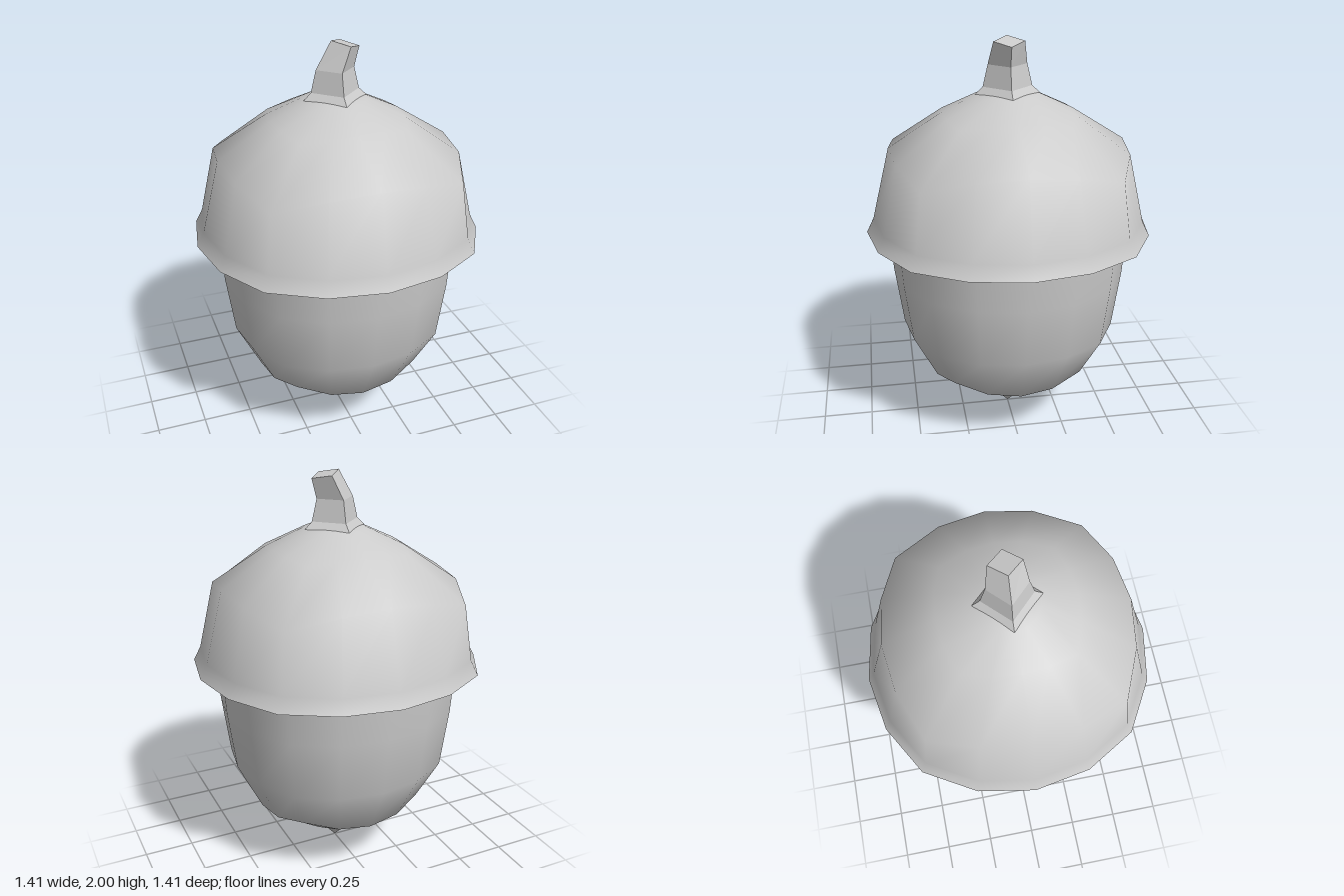
import * as THREE from 'three';

const material = new THREE.MeshStandardMaterial({ color: 0xcccccc });

// Skin stacked rings, listed bottom to top (outside faces out).
// Each ring: { r, y, x: sideways shift, bulge: extra diagonal radius,
// drop: diagonal lowering, slope: tilt of y along x, depth: z scale }
function loft(name, rings, sides, flat = false, capTop = false) {
  const pos = [], index = [];
  for (const { r, y, x = 0, bulge = 0, drop = 0, slope = 0, depth = 1 } of rings) {
    for (let j = 0; j < sides; j++) {
      const a = (j / sides) * Math.PI * 2;
      const d = Math.sin(2 * a) ** 4;
      const rr = r * (1 + bulge * d);
      const px = rr * Math.sin(a);
      pos.push(x + px, y - drop * d + slope * px, rr * Math.cos(a) * depth);
    }
  }
  for (let i = 0; i < rings.length - 1; i++) {
    for (let j = 0; j < sides; j++) {
      const k = (j + 1) % sides;
      const a = i * sides + j, b = i * sides + k;
      const c = b + sides, e = a + sides;
      if (rings[i].r > 0) index.push(a, b, c);
      else { index.push(a, c, e); continue; }
      if (rings[i + 1].r > 0) index.push(a, c, e);
    }
  }
  if (capTop) {
    const s = (rings.length - 1) * sides;
    for (let j = 1; j < sides - 1; j++) index.push(s, s + j, s + j + 1);
  }
  let geo = new THREE.BufferGeometry();
  geo.setAttribute('position', new THREE.Float32BufferAttribute(pos, 3));
  geo.setIndex(index);
  if (flat) geo = geo.toNonIndexed();
  geo.computeVertexNormals();
  const mesh = new THREE.Mesh(geo, material);
  mesh.name = name;
  return mesh;
}

export function createModel() {
  const group = new THREE.Group();
  group.name = 'acorn';

  // Nut: pointed tip, rounded belly, slightly squared plan
  group.add(loft('nut', [
    { r: 0, y: 0 },
    { r: 0.09, y: 0.1 },
    { r: 0.23, y: 0.175, bulge: 0.08, drop: -0.02 },
    { r: 0.42, y: 0.295, bulge: 0.08, drop: -0.05 },
    { r: 0.545, y: 0.55, bulge: 0.04 },
    { r: 0.585, y: 0.85, bulge: 0.035 },
    { r: 0.6, y: 1.07, bulge: 0.035 },
  ], 16));

  // Cap: domed top flaring to a lip
  const lip = { r: 0.707, y: 1.06, bulge: 0.035 };
  group.add(loft('cap', [
    lip,
    { r: 0.672, y: 1.13, bulge: 0.035 },
    { r: 0.582, y: 1.485, bulge: 0.12, drop: 0.08 },
    { r: 0.32, y: 1.65, bulge: 0.16, drop: 0.03 },
    { r: 0.15, y: 1.73 },
    { r: 0, y: 1.745 },
  ], 16));

  // Flat underside of the lip, meeting the nut
  group.add(loft('capUnderside', [{ r: 0.59, y: 1.06, bulge: 0.035 }, lip], 16));

  // Four-sided bent stem with a slanted end
  group.add(loft('stem', [
    { r: 0.157, y: 1.73 },
    { r: 0.12, y: 1.765 },
    { r: 0.095, y: 1.87 },
    { r: 0.07, y: 1.983, x: 0.05, slope: -0.25, depth: 1.07 },
  ], 4, true, true));

  return group;
}
